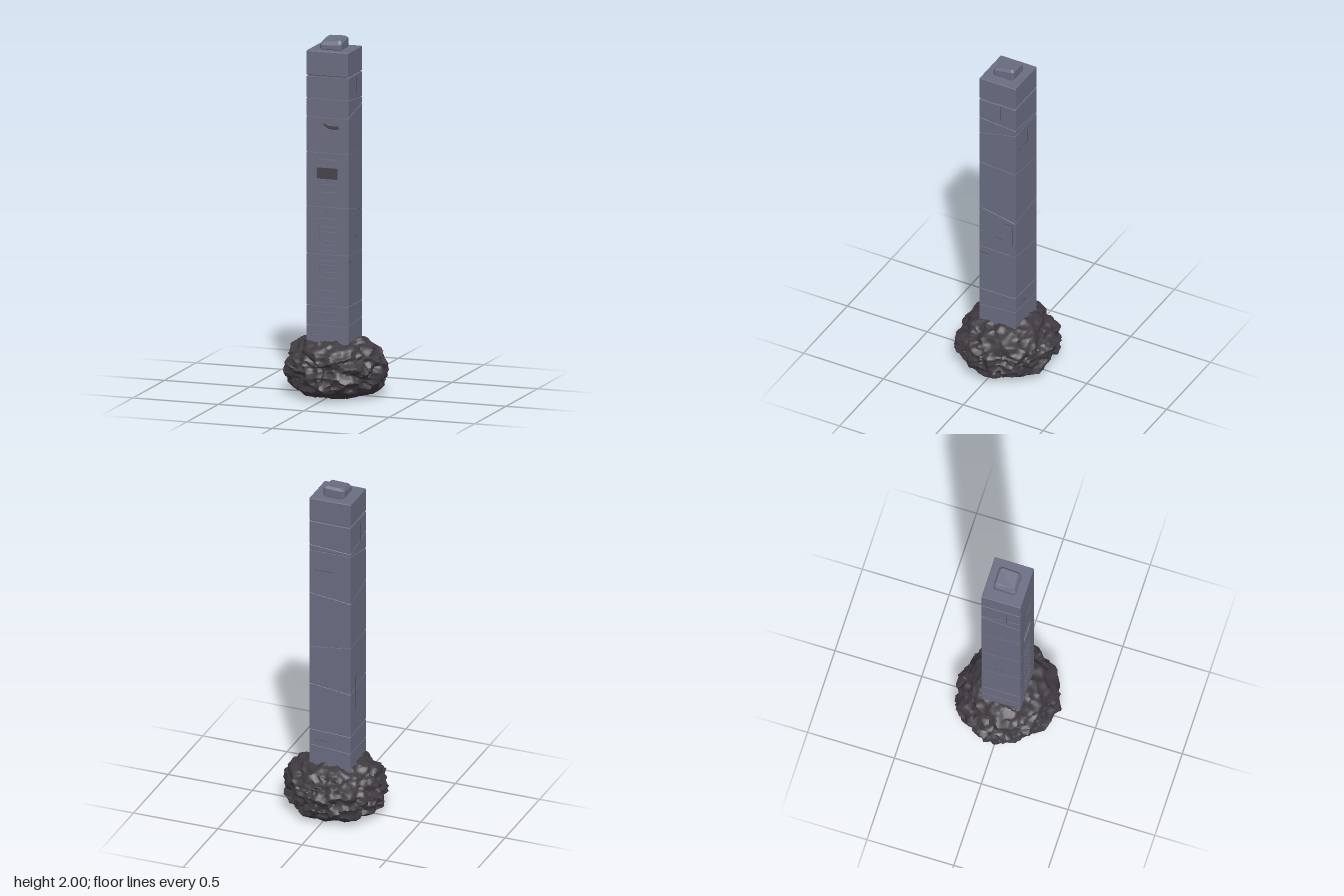
import * as THREE from 'three';
import { toCreasedNormals } from 'three/addons/utils/BufferGeometryUtils.js';

const slate = new THREE.MeshStandardMaterial({ color: 0x6b6e82 });
slate.name = 'slate';
const basalt = new THREE.MeshStandardMaterial({ color: 0x403b41 });
basalt.name = 'darkRock';
const recess = new THREE.MeshStandardMaterial({ color: 0x48444c });
recess.name = 'recessShadow';

// Pillar footprint
const X0 = -0.13, X1 = 0.115, ZB = -0.115, ZF = 0.11, SLAB = 0.012;

function rng(seed) {
  let s = seed;
  return () => ((s = (s * 16807) % 2147483647) / 2147483647);
}

// Chamfered block; low(x, z) and high(x, z) give sloping end faces
function blockGeometry(x0, x1, z0, z1, low, high, c = 0.003) {
  const ring = (inset, height, dy) => {
    const a = x0 + inset, b = x1 - inset, d = z0 + inset, e = z1 - inset;
    return [[a + c, e], [b - c, e], [b, e - c], [b, d + c], [b - c, d], [a + c, d], [a, d + c], [a, e - c]]
      .map(([x, z]) => [x, height(x, z) + dy, z]);
  };
  const rings = [ring(c, low, 0), ring(0, low, c), ring(0, high, -c), ring(c, high, 0)];
  const pos = [];
  for (let r = 0; r < 3; r++) {
    for (let i = 0; i < 8; i++) {
      const j = (i + 1) % 8;
      const [a, b, p, q] = [rings[r][i], rings[r][j], rings[r + 1][j], rings[r + 1][i]];
      pos.push(...a, ...b, ...p, ...a, ...p, ...q);
    }
  }
  for (let i = 1; i < 7; i++) {
    pos.push(...rings[0][0], ...rings[0][i + 1], ...rings[0][i]);
    pos.push(...rings[3][0], ...rings[3][i], ...rings[3][i + 1]);
  }
  const g = new THREE.BufferGeometry();
  g.setAttribute('position', new THREE.Float32BufferAttribute(pos, 3));
  g.computeVertexNormals();
  return g;
}

// Shape outline as a path from corner pairs
function outline(points, Type) {
  const p = new Type();
  points.forEach(([x, y], i) => (i ? p.lineTo(x, y) : p.moveTo(x, y)));
  p.closePath();
  return p;
}
const rect = (x0, x1, y0, y1) => [[x0, y0], [x1, y0], [x1, y1], [x0, y1]];

// Carvings on the front face
function carvings() {
  const list = [
    rect(-0.07, 0.055, 1.22, 1.285),
    [[-0.035, 1.54], [-0.03, 1.52], [0.0, 1.5], [0.06, 1.5], [0.06, 1.522], [0.0, 1.522]],
    rect(-0.015, -0.005, 1.02, 1.05),
    rect(-0.1, -0.03, 0.345, 0.352),
  ];
  // long rungs and shorter bars: height, half thickness
  [[1.335, 0.004], [1.195, 0.004], [1.155, 0.007], [1.005, 0.006], [0.96, 0.007], [0.855, 0.004], [0.825, 0.004],
    [0.77, 0.006], [0.672, 0.007], [0.6, 0.005], [0.558, 0.006], [0.535, 0.004], [0.48, 0.006], [0.435, 0.006]]
    .forEach(([y, t], i) => list.push(rect(i % 3 ? -0.055 : -0.07, i % 4 ? 0.045 : 0.055, y - t, y + t)));
  // bracket-shaped carvings opening sideways or down
  [[0.87, 0.935], [0.695, 0.75]].forEach(([a, b]) => list.push(
    [[-0.055, a], [-0.045, a], [-0.045, b - 0.01], [0.045, b - 0.01], [0.045, b], [-0.055, b]],
    rect(-0.03, 0.045, a + 0.005, a + 0.013)));
  return list;
}

function createPillar() {
  const pillar = new THREE.Group();
  pillar.name = 'pillar';
  const add = (geometry, material, name) => {
    const m = new THREE.Mesh(geometry, material);
    m.name = name;
    pillar.add(m);
    return m;
  };

  // Inner core visible in the joints
  const core = add(new THREE.BoxGeometry(X1 - X0 - 0.024, 1.68, ZF - ZB - 0.024), slate, 'core');
  core.position.set((X0 + X1) / 2, 1.04, (ZF + ZB) / 2);

  // Joints: front height, drop toward the back, sideways tilt at the back, half gap
  const joints = [[0.2, 0, 0, 0], [0.4, 0.01, 0.02, 0], [0.512, -0.003, 0.01, 0.001], [0.8, -0.02, 0.03, 0],
    [1.066, -0.03, -0.03, 0], [1.37, -0.03, 0.03, 0], [1.568, 0.05, 0, 0.001], [1.672, -0.03, 0.02, 0.001],
    [1.797, 0, 0, 0.003]];
  const heightAt = ([y, drop, tilt], gap) => (x, z) => {
    const t = (ZF - z) / (ZF - ZB);
    return y + gap + t * (drop + tilt * ((x - X0) / (X1 - X0) - 0.5));
  };
  const holes = carvings();
  for (let i = 0; i < joints.length - 1; i++) {
    const lower = joints[i], upper = joints[i + 1];
    add(blockGeometry(X0, X1, ZB, ZF - SLAB, heightAt(lower, lower[3]), heightAt(upper, -upper[3]), 0.002), slate, 'stoneBlock' + (i + 1));

    // Front facing with carved slots
    const a = lower[0] + 0.002 + lower[3], b = upper[0] - 0.002 - upper[3];
    const face = outline(rect(X0 + 0.001, X1 - 0.001, a, b), THREE.Shape);
    holes.filter(h => h.every(p => p[1] > a && p[1] < b))
      .forEach(h => face.holes.push(outline(h, THREE.Path)));
    const slab = new THREE.ExtrudeGeometry(face, { depth: SLAB, bevelEnabled: false });
    slab.translate(0, 0, ZF - SLAB);
    add(slab, slate, 'carvedFace' + (i + 1));
  }

  // Dark floors of the two large recesses
  holes.slice(0, 2).forEach((h, i) => {
    const floor = new THREE.ShapeGeometry(outline(h, THREE.Shape));
    floor.translate(0, 0, ZF - SLAB + 0.002);
    add(floor, recess, 'recessFloor' + (i + 1));
  });

  // Hairline cracks stepping across sides and back
  const crack = (side, u, y, w, h) => {
    const onX = side !== 'back';
    const m = add(new THREE.BoxGeometry(onX ? 0.001 : w, h, onX ? w : 0.001), recess, 'crack');
    if (onX) m.position.set(side === 'left' ? X1 : X0, y, u);
    else m.position.set(u, y, ZB);
  };
  [['left', 0.08, 0.76, 0.05, 0.003], ['left', -0.07, 1.0, 0.06, 0.002], ['left', -0.095, 0.93, 0.002, 0.12],
    ['left', -0.02, 1.74, 0.004, 0.09], ['left', -0.01, 0.89, 0.05, 0.002], ['back', 0.03, 1.5, 0.1, 0.002],
    ['back', -0.02, 1.54, 0.002, 0.08], ['back', 0.04, 0.45, 0.08, 0.002], ['right', -0.04, 0.75, 0.002, 0.2],
    ['right', -0.01, 0.85, 0.06, 0.002], ['right', 0.03, 1.7, 0.004, 0.12]].forEach(c => crack(...c));

  // Capital
  add(blockGeometry(X0, X1, ZB, ZF, () => 1.8, () => 1.937), slate, 'capital');

  // Worn finial, its top sloping away to the front
  const worn = (x, z) => 2 - Math.max(0, z - 0.02) * 0.55 - Math.max(0, -0.04 - x) * 0.3;
  add(blockGeometry(-0.07, 0.055, -0.068, 0.06, () => 1.93, worn, 0.011), slate, 'finial');
  return pillar;
}

// Craggy mound: flattened dome broken up by cell noise
function createMound() {
  const rand = rng(71);
  const seeds = (n) => Array.from({ length: n }, () => {
    const y = rand() * 2 - 1, a = rand() * Math.PI * 2, r = Math.sqrt(1 - y * y);
    return { v: new THREE.Vector3(r * Math.cos(a), y, r * Math.sin(a)), lift: rand() };
  });
  const big = seeds(60), small = seeds(380);
  const cell = (list, v) => {
    let best = 9, lift = 0;
    for (const s of list) {
      const d = s.v.distanceTo(v);
      if (d < best) { best = d; lift = s.lift; }
    }
    return [best, lift];
  };
  const g = new THREE.IcosahedronGeometry(1, 24);
  const p = g.attributes.position, v = new THREE.Vector3();
  for (let i = 0; i < p.count; i++) {
    v.fromBufferAttribute(p, i).normalize();
    v.set(...v.toArray().map(n => Math.round(n * 1e5) / 1e5));
    const [d1, l1] = cell(big, v), [d2, l2] = cell(small, v);
    const e = 2.5;
    const k = (Math.hypot(v.x, v.z) ** e + Math.abs(v.y) ** e) ** (-1 / e);
    const s = k * (0.985 + 0.09 * (l1 - 0.5) - 0.25 * d1 + 0.05 * (l2 - 0.5) + 0.55 * (d2 - 0.07));
    // lower shoulder in front of the pillar
    const rise = v.y > 0 ? 0.205 - 0.035 * Math.max(0, v.z) : 0.2;
    const y = Math.max(0.13 + v.y * s * rise, 0);
    // undercut foot
    const foot = 0.76 + 0.24 * Math.min(1, y / 0.05);
    p.setXYZ(i, v.x * s * 0.295 * foot, y, v.z * s * 0.285 * foot);
  }
  const mound = new THREE.Mesh(toCreasedNormals(g, 0.8), basalt);
  mound.name = 'rockMound';
  return mound;
}

export function createModel() {
  const model = new THREE.Group();
  model.name = 'stonePillar';
  model.add(createMound(), createPillar());
  return model;
}
